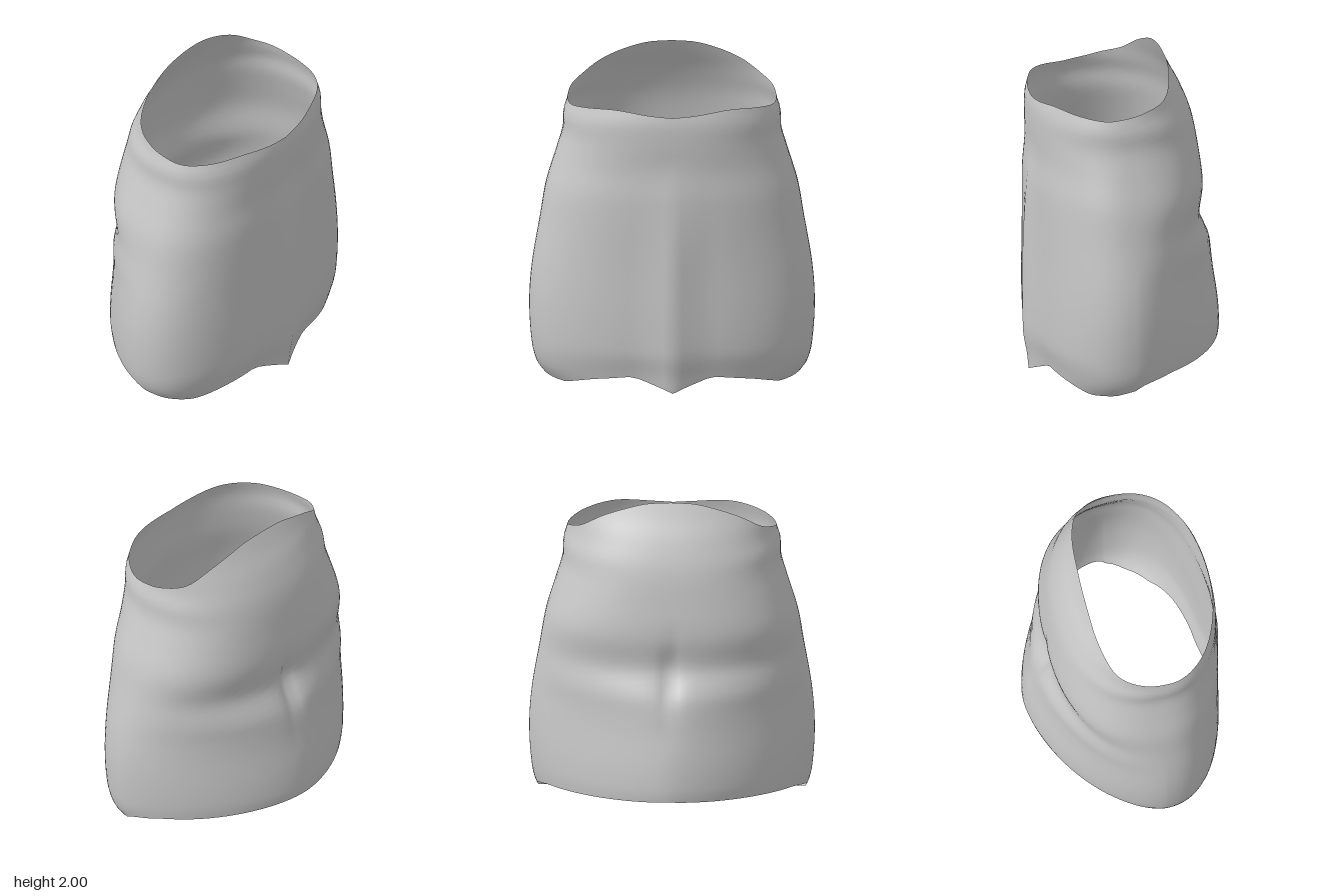
import * as THREE from 'three';

// Smooth (Hermite) or straight interpolation through a short list of [position, value] pairs
function lookup(points, p, smooth = true) {
  const last = points.length - 1;
  if (p <= points[0][0]) return points[0][1];
  if (p >= points[last][0]) return points[last][1];
  let i = 0;
  while (p > points[i + 1][0]) i++;
  const [x0, y0] = points[i], [x1, y1] = points[i + 1];
  const w = x1 - x0, u = (p - x0) / w;
  if (!smooth) return y0 + (y1 - y0) * u;
  const slope = (k) => {
    const a = points[Math.max(k - 1, 0)], b = points[Math.min(k + 1, last)];
    return (b[1] - a[1]) / (b[0] - a[0]);
  };
  const u2 = u * u, u3 = u2 * u;
  return y0 * (2 * u3 - 3 * u2 + 1) + y1 * (3 * u2 - 2 * u3)
    + w * (slope(i) * (u3 - 2 * u2 + u) + slope(i + 1) * (u3 - u2));
}

// Profiles by height
const halfWidth = [[0, 0.74], [0.03, 0.775], [0.09, 0.82], [0.2, 0.85], [0.46, 0.866], [0.7, 0.85],
  [1, 0.8], [1.2, 0.765], [1.4, 0.705], [1.55, 0.663], [1.66, 0.658], [1.75, 0.632], [2, 0.625]];
const frontDepth = [[0, 0.5], [0.09, 0.515], [0.25, 0.55], [0.8, 0.556], [1.2, 0.562],
  [1.38, 0.553], [1.55, 0.56], [1.69, 0.558], [1.77, 0.538]];
const backDepth = [[0.1, -0.58], [0.2, -0.6], [0.25, -0.606], [0.4, -0.597], [0.6, -0.567], [0.82, -0.535],
  [0.9, -0.5], [1, -0.457], [1.2, -0.47], [1.4, -0.45], [1.62, -0.412], [1.8, -0.343], [1.9, -0.288], [2, -0.24]];
const backRoundness = [[0, 1.65], [0.7, 1.7], [1, 2.1], [1.25, 2.4], [1.6, 2.3], [2, 2.1]];
const ridgeHeight = [[0, 0.07], [0.25, 0.055], [0.8, 0.05], [1.2, 0.02], [1.45, 0]];
const grooveDepth = [[0.5, 0], [0.75, 0.02], [0.88, 0.05], [1, 0.045], [1.15, 0.015], [1.3, 0]];

// Edge heights by angle, from the front centre (0) to the back centre (PI)
const hemHeight = [[0, 0], [0.3, 0.09], [0.65, 0.06], [1.02, 0.015], [1.35, 0.03], [1.57, 0.07],
  [1.72, 0.11], [2.05, 0.155], [Math.PI, 0.2]];
const neckHeight = [[0, 1.73], [0.2, 1.74], [0.58, 1.765], [1, 1.75], [1.35, 1.735], [1.57, 1.75],
  [1.8, 1.78], [2.09, 1.82], [2.41, 1.9], [2.65, 1.95], [2.9, 1.99], [Math.PI, 2]];

const sideZ = 0.1;

// Point on the body at an angle and height
function bodyPoint(angle, y) {
  const t = Math.abs(angle);
  const s = Math.sin(t), isFront = t < Math.PI / 2;
  const x = lookup(halfWidth, y) * s;
  const n = isFront ? 2.25 : lookup(backRoundness, y);
  const curve = Math.pow(Math.max(0, 1 - Math.pow(s, n)), 1 / n);
  let z = sideZ + ((isFront ? lookup(frontDepth, y) : lookup(backDepth, y)) - sideZ) * curve;
  if (isFront) z += lookup(ridgeHeight, y) * Math.pow(Math.max(0, 1 - x / 0.24), 1.5);
  else z += lookup(grooveDepth, y) * Math.exp(-x / 0.05);
  return [Math.sign(angle) * x, y, z];
}

export function createModel() {
  const group = new THREE.Group();
  group.name = 'torsoGarment';
  const grey = new THREE.MeshStandardMaterial({ color: 0xc8c8c8, side: THREE.DoubleSide });
  grey.name = 'light grey';

  // Open tube from hem to neckline
  const columns = 96, rows = 44;
  const positions = [], index = [];
  for (let r = 0; r <= rows; r++) {
    for (let c = 0; c < columns; c++) {
      const angle = (c / columns) * 2 * Math.PI - Math.PI;
      const t = Math.abs(angle);
      const y = THREE.MathUtils.lerp(lookup(hemHeight, t, false), lookup(neckHeight, t), r / rows);
      positions.push(...bodyPoint(angle, y));
      if (r === rows) continue;
      const a = r * columns + c, b = r * columns + (c + 1) % columns;
      index.push(a, b, b + columns, a, b + columns, a + columns);
    }
  }
  const geometry = new THREE.BufferGeometry();
  geometry.setAttribute('position', new THREE.Float32BufferAttribute(positions, 3));
  geometry.setIndex(index);
  geometry.computeVertexNormals();

  const body = new THREE.Mesh(geometry, grey);
  body.name = 'bodyShell';
  group.add(body);
  return group;
}
